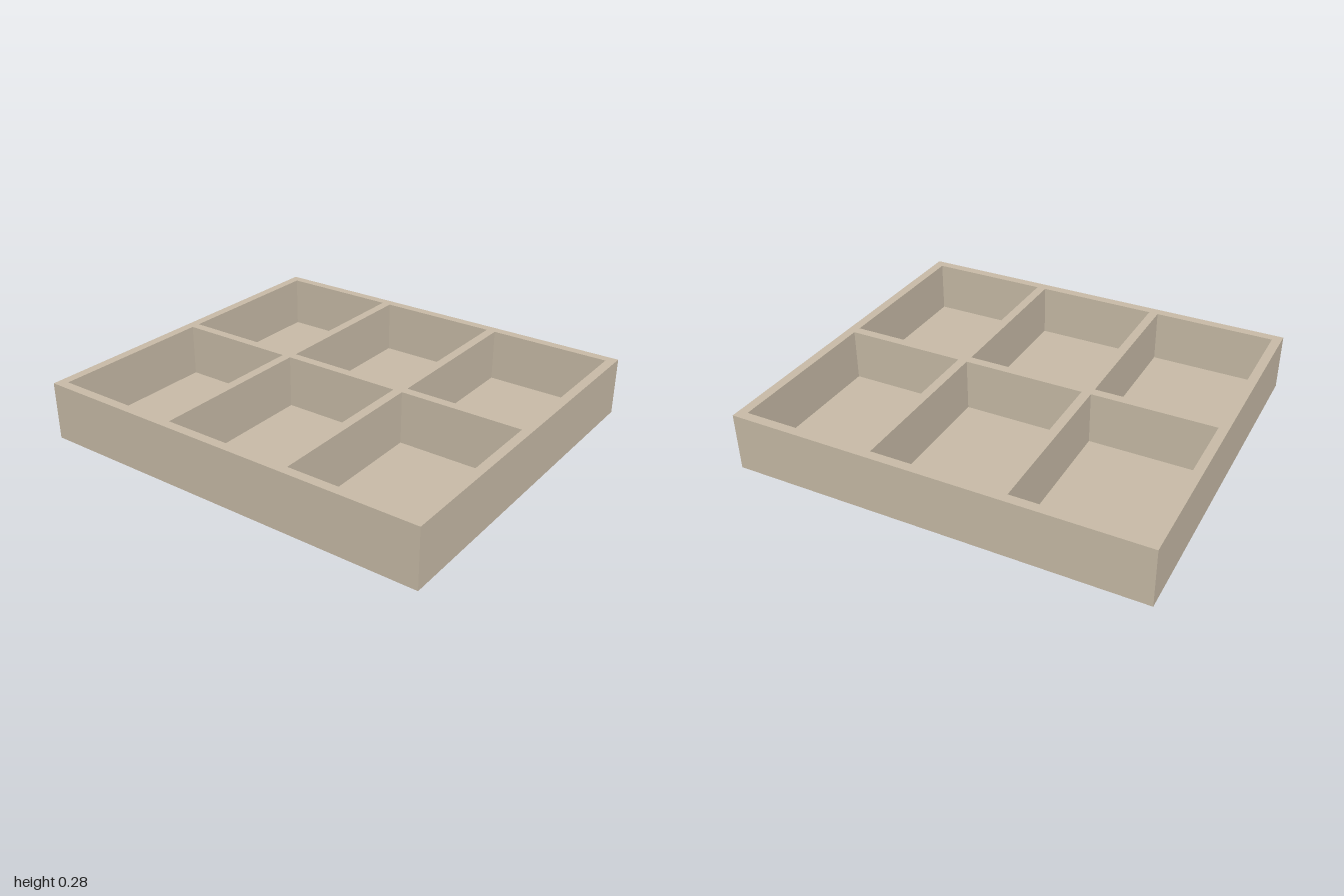
import * as THREE from 'three';

const WIDTH = 2, DEPTH = 1.79, HEIGHT = 0.285;
const WALL = 0.046, FLOOR = 0.024;
const COLUMNS = 3, ROWS = 2;

// Adds a centred rectangle to a shape or path
function rectangle(path, cx, cy, w, h) {
  path.moveTo(cx - w / 2, cy - h / 2);
  path.lineTo(cx + w / 2, cy - h / 2);
  path.lineTo(cx + w / 2, cy + h / 2);
  path.lineTo(cx - w / 2, cy + h / 2);
  path.closePath();
  return path;
}

export function createModel() {
  const model = new THREE.Group();
  model.name = 'compartmentTray';
  const beige = new THREE.MeshStandardMaterial({ color: 0xc9bca8 });
  beige.name = 'beige';

  // Outer walls and dividers: one slab pierced by the compartments
  const outline = rectangle(new THREE.Shape(), 0, 0, WIDTH, DEPTH);
  const cellW = (WIDTH - WALL * (COLUMNS + 1)) / COLUMNS;
  const cellD = (DEPTH - WALL * (ROWS + 1)) / ROWS;
  for (let c = 0; c < COLUMNS; c++) {
    for (let r = 0; r < ROWS; r++) {
      const x = (c - (COLUMNS - 1) / 2) * (cellW + WALL);
      const z = (r - (ROWS - 1) / 2) * (cellD + WALL);
      outline.holes.push(rectangle(new THREE.Path(), x, z, cellW, cellD));
    }
  }
  const wallGeometry = new THREE.ExtrudeGeometry(outline, { depth: HEIGHT - FLOOR, bevelEnabled: false });
  wallGeometry.rotateX(-Math.PI / 2);
  const walls = new THREE.Mesh(wallGeometry, beige);
  walls.name = 'wallsAndDividers';
  walls.position.y = FLOOR;
  model.add(walls);

  // Floor
  const floor = new THREE.Mesh(new THREE.BoxGeometry(WIDTH, FLOOR, DEPTH), beige);
  floor.name = 'floor';
  floor.position.y = FLOOR / 2;
  model.add(floor);

  return model;
}
